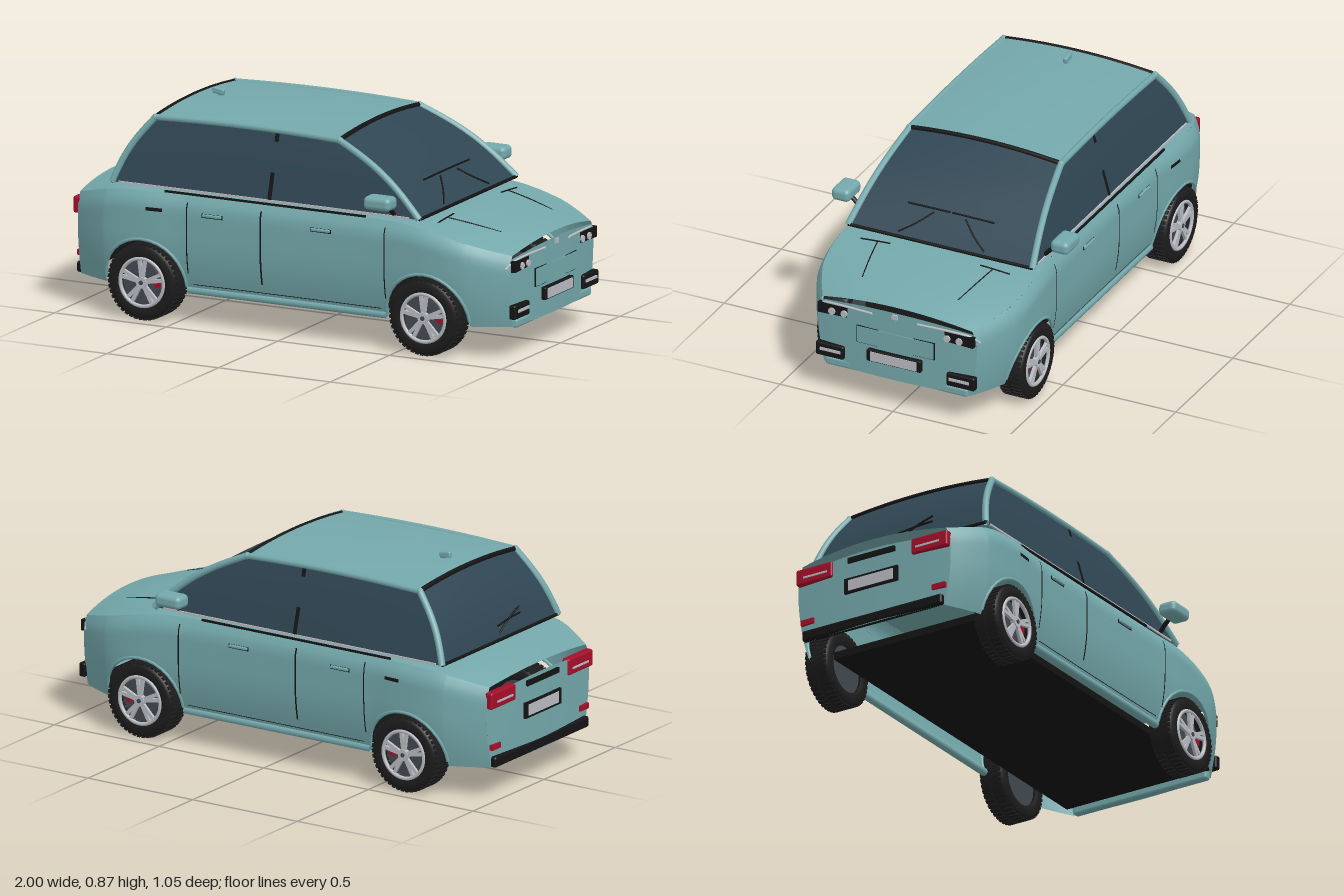
import * as THREE from 'three';
import { RoundedBoxGeometry } from 'three/addons/geometries/RoundedBoxGeometry.js';

const V = (x, y, z) => new THREE.Vector3(x, y, z);
const clamp = THREE.MathUtils.clamp, lerp = THREE.MathUtils.lerp;

// Piecewise-smooth lookup through a few [x, value] pairs
function track(pts) {
  return x => {
    let i = 0;
    while (i < pts.length - 2 && x > pts[i + 1][0]) i++;
    const slope = k => k <= 0 || k >= pts.length - 1 ? (k <= 0 ? (pts[1][1] - pts[0][1]) / (pts[1][0] - pts[0][0])
      : (pts[k][1] - pts[k - 1][1]) / (pts[k][0] - pts[k - 1][0])) : (pts[k + 1][1] - pts[k - 1][1]) / (pts[k + 1][0] - pts[k - 1][0]);
    const h = pts[i + 1][0] - pts[i][0], t = clamp((x - pts[i][0]) / h, 0, 1), t2 = t * t, t3 = t2 * t;
    return (2 * t3 - 3 * t2 + 1) * pts[i][1] + (t3 - 2 * t2 + t) * h * slope(i)
      + (3 * t2 - 2 * t3) * pts[i + 1][1] + (t3 - t2) * h * slope(i + 1);
  };
}

// Grid surface from a function of two values in 0..1
function surf(f, nu, nv) {
  const pos = [], idx = [];
  for (let i = 0; i <= nu; i++) for (let j = 0; j <= nv; j++) pos.push(...f(i / nu, j / nv, i).toArray());
  for (let i = 0; i < nu; i++) for (let j = 0; j < nv; j++) {
    const a = i * (nv + 1) + j, b = a + nv + 1;
    idx.push(a, b, a + 1, b, b + 1, a + 1);
  }
  const g = new THREE.BufferGeometry();
  g.setAttribute('position', new THREE.Float32BufferAttribute(pos, 3));
  g.setIndex(idx);
  g.computeVertexNormals();
  return g;
}

const tube = (pts, r) => new THREE.TubeGeometry(new THREE.CatmullRomCurve3(pts), 16, r, 8);

// Body plan width, shoulder height and centre-line height along the length
const REAR = -0.97, NOSE = 0.96, LOW = 0.13, ARCH = 0.182, AXLES = [-0.635, 0.625];
const width = track([[-0.97, 0.36], [-0.9, 0.4], [-0.8, 0.442], [-0.63, 0.455], [-0.45, 0.442], [0.4, 0.442], [0.63, 0.455], [0.78, 0.442], [0.88, 0.4], [0.96, 0.352]]);
const shoulder = track([[-0.97, 0.465], [-0.78, 0.515], [-0.6, 0.525], [0.45, 0.525], [0.6, 0.512], [0.8, 0.465], [0.96, 0.42]]);
const crown = track([[-0.97, 0.492], [-0.78, 0.53], [-0.6, 0.533], [0.58, 0.533], [0.8, 0.5], [0.96, 0.458]]);
function sideZ(x, y) {
  const tuck = clamp(1 - (shoulder(x) - y) / 0.07, 0, 1), under = clamp((0.36 - y) / 0.23, 0, 1);
  return width(x) * (1 - 0.06 * tuck * tuck - 0.08 * under * under);
}
const bow = (x, u) => x + Math.sign(x) * 0.02 * (1 - u * u) * clamp((Math.abs(x) - 0.7) / 0.26, 0, 1);

// Pillar centre lines, t from belt to roof, s = side
const pillarA = (t, s) => V(lerp(0.585, 0.19, t) + 0.02 * Math.sin(Math.PI * t), lerp(0.54, 0.803, t) + 0.02 * Math.sin(Math.PI * t), s * lerp(0.408, 0.335, t));
const pillarC = (t, s) => V(lerp(-0.79, -0.635, t) - 0.018 * Math.sin(Math.PI * t), lerp(0.54, 0.803, t) + 0.006 * Math.sin(Math.PI * t), s * lerp(0.408, 0.335, t));
const steps = n => Array.from({ length: n + 1 }, (_, i) => i / n);

export function createModel() {
  const car = new THREE.Group();
  car.name = 'car';
  const mat = (name, color) => new THREE.MeshStandardMaterial({ name, color, side: THREE.DoubleSide });
  const paint = mat('teal paint', 0x74a8ab), glass = mat('dark glass', 0x2f4653), black = mat('black trim', 0x141414),
    rubber = mat('tyre rubber', 0x1c1c1c), silver = mat('silver', 0xb9bcc2), red = mat('red', 0xa50f2a), steel = mat('dark steel', 0x41494f);
  const add = (name, geo, m, parent = car) => {
    const mesh = new THREE.Mesh(geo, m);
    mesh.name = name;
    parent.add(mesh);
    return mesh;
  };
  const box = (name, m, w, h, d, x, y, z, parent = car) => {
    const mesh = add(name, new THREE.BoxGeometry(w, h, d), m, parent);
    mesh.position.set(x, y, z);
    return mesh;
  };
  const soft = (name, m, w, h, d, x, y, z, r = 0.01) => {
    const mesh = add(name, new RoundedBoxGeometry(w, h, d, 3, r), m);
    mesh.position.set(x, y, z);
    return mesh;
  };

  // Columns of the side panels, packed along the wheel arches
  const cols = [];
  const run = (a, b, n) => steps(n).forEach(t => cols.push([lerp(a, b, t), LOW]));
  const arch = c => steps(24).forEach(t => cols.push([c - ARCH * Math.cos(Math.PI * t), 0.15 + ARCH * Math.sin(Math.PI * t)]));
  run(REAR, AXLES[0] - ARCH, 5); arch(AXLES[0]);
  run(AXLES[0] + ARCH, AXLES[1] - ARCH, 14); arch(AXLES[1]);
  run(AXLES[1] + ARCH, NOSE, 6);

  for (const s of [1, -1]) {
    // Side panel and arch lips
    add('sidePanel', surf((u, v, i) => {
      const [x, y0] = cols[i], y = lerp(y0, shoulder(x), v);
      return V(x, y, s * sideZ(x, y));
    }, cols.length - 1, 14), paint);
    for (const c of AXLES) add('archLip', tube(steps(16).map(t => {
      const x = c - ARCH * Math.cos(Math.PI * t), y = 0.15 + ARCH * Math.sin(Math.PI * t);
      return V(x, y, s * (sideZ(x, y) - 0.002));
    }), 0.007), paint);
    add('sill', tube([V(-0.45, 0.138, s * 0.405), V(0.44, 0.138, s * 0.405)], 0.016), paint);

    // Thin strips that follow the side panel
    const strip = (name, m, x0, x1, y0, y1) => add(name, surf((u, v) => {
      const x = lerp(x0, x1, u), y = lerp(y0, y1, v);
      return V(x, y, s * (sideZ(x, y) + 0.002));
    }, 8, 12), m);
    strip('rearDoorSeam', black, -0.442, -0.437, 0.21, 0.5);
    strip('middleDoorSeam', black, -0.114, -0.107, 0.2, 0.5);
    strip('frontDoorSeam', black, 0.443, 0.448, 0.21, 0.5);
    strip('doorBottomSeam', black, -0.42, 0.42, 0.163, 0.166);
    strip('sideVent', black, -0.615, -0.545, 0.452, 0.466);
    for (const x of [-0.325, 0.16]) {
      strip('handleRecess', black, x - 0.047, x + 0.047, 0.447, 0.464);
      soft('doorHandle', paint, 0.085, 0.012, 0.012, x, 0.457, s * (sideZ(x, 0.457) + 0.005), 0.004);
    }
    box('beltSeal', black, 0.9, 0.008, 0.008, -0.1, 0.53, s * 0.418);
    box('beltTrim', silver, 1.3, 0.008, 0.006, -0.11, 0.542, s * 0.41);

    // Side glass, pillars and roof rail
    add('sideWindow', surf((u, t) => {
      const p = pillarC(t, s).lerp(pillarA(t, s), u);
      p.y += t * 0.04 * u * (1 - u);
      return p;
    }, 12, 10), glass);
    add('windscreenPillar', tube(steps(8).map(t => pillarA(t, s)), 0.014), paint);
    add('rearPillar', tube(steps(8).map(t => pillarC(t, s)), 0.014), paint);
    add('roofRail', tube(steps(8).map(t => pillarC(1, s).lerp(pillarA(1, s), t).add(V(0, 0.04 * t * (1 - t), 0))), 0.013), paint);
    for (const p of [pillarA(1, s), pillarC(1, s)]) add('railCap', new THREE.SphereGeometry(0.015, 10, 8), paint).position.copy(p);
    add('doorPillar', surf((u, t) => V(lerp(-0.095, -0.077, u), lerp(0.545, 0.808, t), s * lerp(0.411, 0.338, t)), 1, 1), black);

    // Door mirror
    soft('mirror', paint, 0.12, 0.055, 0.08, 0.45, 0.612, s * 0.485, 0.02);
    add('mirrorArm', tube([V(0.47, 0.55, s * 0.405), V(0.465, 0.575, s * 0.43), V(0.46, 0.598, s * 0.46)], 0.009), black);

    // Front lamps, fog lamps and nose crease
    const lamp = box('headlightHousing', black, 0.02, 0.045, 0.165, 0.965, 0.378, s * 0.262);
    lamp.rotation.y = s * 0.06;
    for (const [z, r] of [[0.282, 0.015], [0.228, 0.014]]) {
      const eye = add('headlight', new THREE.CylinderGeometry(r, r, 0.008, 20), silver);
      eye.rotation.z = Math.PI / 2;
      eye.position.set(0.978, 0.372, s * z);
    }
    add('lampTrim', tube([V(0.984, 0.408, s * 0.1), V(0.978, 0.408, s * 0.25), V(0.965, 0.397, s * 0.33), V(0.945, 0.37, s * 0.36)], 0.005), silver);
    soft('fogLampHousing', black, 0.03, 0.058, 0.125, 0.97, 0.194, s * 0.29, 0.008);
    box('fogLamp', silver, 0.006, 0.012, 0.09, 0.986, 0.198, s * 0.285);
    const onHood = (x, z) => { const e = sideZ(x, shoulder(x)), u = z / e; return V(x, shoulder(x) + (crown(x) - shoulder(x)) * (1 - u * u) + 0.002, s * z); };
    add('hoodCrease', tube([onHood(0.63, 0.255), onHood(0.74, 0.235), onHood(0.85, 0.212)], 0.0025), black);
    add('hoodVent', tube([onHood(0.628, 0.2), onHood(0.628, 0.26), onHood(0.628, 0.33)], 0.003), black);

    // Tail lamps and reflectors
    soft('tailLamp', red, 0.035, 0.068, 0.17, -0.976, 0.412, s * 0.272, 0.008);
    box('tailLampStripe', silver, 0.004, 0.008, 0.11, -0.995, 0.405, s * 0.265);
    box('rearReflector', red, 0.02, 0.022, 0.06, -0.975, 0.215, s * 0.31);

    // Windscreen wipers
    const W = (t, z) => { const p = pillarA(t, 1), u = z / p.z; return V(p.x + 0.006, p.y + 0.006 + 0.022 * t * (1 - u * u), s * z); };
    add('wiperBlade', tube([W(0.3, 0.005), W(0.3, 0.1), W(0.3, 0.19)], 0.004), black);
    add('wiperArm', tube([W(0.04, 0.19), W(0.14, 0.13), W(0.27, 0.07)], 0.0035), black);
  }

  // Hood, shelf and rear deck in one crowned skin
  add('hoodAndDeck', surf((a, b) => {
    const x = lerp(REAR, NOSE, a), u = b * 2 - 1, e = sideZ(x, shoulder(x));
    return V(bow(x, u), shoulder(x) + (crown(x) - shoulder(x)) * (1 - u * u), u * e);
  }, 60, 20), paint);

  // Bowed end panels
  const endPanel = (name, x, top) => add(name, surf((a, b) => {
    const u = b * 2 - 1, y = lerp(LOW, top - 0.025 * u * u, a);
    return V(bow(x, u), y, u * sideZ(x, Math.min(y, shoulder(x) - 0.01)));
  }, 10, 20), paint);
  endPanel('nosePanel', NOSE, 0.432);
  endPanel('tailPanel', REAR, 0.452);
  box('floor', black, 1.68, 0.03, 0.66, 0.08, 0.158, 0);

  // Nose fittings
  box('grilleFrame', black, 0.008, 0.076, 0.346, 0.975, 0.3, 0);
  box('grillePanel', paint, 0.012, 0.07, 0.338, 0.976, 0.3, 0);
  soft('noseLip', paint, 0.035, 0.036, 0.63, 0.955, 0.142, 0);
  soft('frontPlateFrame', black, 0.03, 0.052, 0.24, 0.982, 0.224, 0, 0.006);
  box('frontPlate', silver, 0.004, 0.04, 0.205, 0.998, 0.224, 0);
  box('noseBadge', silver, 0.008, 0.02, 0.024, 0.983, 0.415, 0);

  // Tail fittings
  soft('rearBumper', black, 0.03, 0.045, 0.66, -0.978, 0.153, 0);
  box('rearPlateFrame', black, 0.012, 0.065, 0.25, -0.992, 0.315, 0);
  box('rearPlate', silver, 0.004, 0.046, 0.21, -0.998, 0.315, 0);
  box('bootHandle', black, 0.016, 0.022, 0.22, -0.99, 0.425, 0);

  // Windscreen, rear window, roof and their black headers
  const screen = (name, f) => add(name, surf((a, t) => {
    const u = a * 2 - 1, p = f(t, u);
    p.y += 0.022 * t * (1 - u * u);
    return p;
  }, 16, 12), glass);
  const header = (f, t, rise) => steps(12).map(a => f(t, a * 2 - 1).add(V(0, rise * (1 - (a * 2 - 1) ** 2) + 0.002, 0)));
  for (const [name, f] of [['windscreen', pillarA], ['rearWindow', pillarC]]) {
    screen(name, f);
    add(name + 'Header', tube(header(f, 1, 0.02), 0.01), black);
    add(name + 'Seal', tube(header(f, 0, 0), 0.007), black);
  }
  add('roof', surf((a, b) => {
    const u = b * 2 - 1, p = pillarC(1, u).lerp(pillarA(1, u), a);
    p.y += 0.006 + 0.02 * (1 - u * u) + 0.03 * a * (1 - a);
    return p;
  }, 20, 16), paint);
  add('rearWiper', tube([V(-0.788, 0.57, 0.0), V(-0.783, 0.61, 0.07), V(-0.778, 0.64, 0.15)], 0.004), black);
  add('rearWiperBlade', tube([V(-0.785, 0.6, -0.01), V(-0.783, 0.61, 0.07), V(-0.782, 0.615, 0.15)], 0.004), black);

  // Antenna
  box('antennaBase', paint, 0.02, 0.025, 0.012, -0.52, 0.83, 0);
  soft('antenna', paint, 0.052, 0.026, 0.02, -0.53, 0.85, 0, 0.007).rotation.z = -0.15;

  // Wheels: outer face towards local +z
  const profile = [[0.098, 0.05], [0.115, 0.056], [0.138, 0.054], [0.149, 0.046], [0.151, 0.03], [0.151, -0.03], [0.149, -0.046], [0.138, -0.054], [0.115, -0.056], [0.098, -0.05]];
  const tyreGeo = new THREE.LatheGeometry(profile.map(p => new THREE.Vector2(...p)), 48).rotateX(Math.PI / 2);
  const spokeShape = new THREE.Shape([[-0.009, 0.015], [0.009, 0.015], [0.02, 0.096], [0.006, 0.096], [0, 0.06], [-0.006, 0.096], [-0.02, 0.096]].map(p => new THREE.Vector2(...p)));
  const spokeGeo = new THREE.ExtrudeGeometry(spokeShape, { depth: 0.012, bevelEnabled: false });
  const disc = (r, d) => new THREE.CylinderGeometry(r, r, d, 32).rotateX(Math.PI / 2);
  for (const x of AXLES) for (const s of [1, -1]) {
    const wheel = new THREE.Group();
    wheel.name = x > 0 ? 'frontWheel' : 'rearWheel';
    wheel.position.set(x, 0.155, s * 0.4);
    wheel.rotation.y = s > 0 ? 0 : Math.PI;
    car.add(wheel);
    add('tyre', tyreGeo, rubber, wheel);
    for (let i = 0; i < 44; i++) for (const k of [-1, 1]) {
      const a = (i + (k > 0 ? 0.5 : 0)) / 44 * Math.PI * 2;
      box('treadBlock', rubber, 0.01, 0.014, 0.042, Math.cos(a) * 0.15, Math.sin(a) * 0.15, k * 0.026, wheel).rotation.z = a;
    }
    add('wheelBack', disc(0.099, 0.06), steel, wheel).position.z = -0.01;
    add('brakeDisc', disc(0.07, 0.008), steel, wheel).position.z = 0.026;
    box('brakeCaliper', red, 0.022, 0.035, 0.014, s * 0.063, 0, 0.034, wheel);
    add('rimRing', new THREE.TorusGeometry(0.097, 0.008, 8, 40), silver, wheel).position.z = 0.05;
    for (let i = 0; i < 5; i++) {
      const spoke = add('spoke', spokeGeo, silver, wheel);
      spoke.position.z = 0.042;
      spoke.rotation.z = i / 5 * Math.PI * 2;
    }
    add('hub', disc(0.023, 0.02), silver, wheel).position.z = 0.048;
    add('hubCap', disc(0.009, 0.004), steel, wheel).position.z = 0.059;
  }
  return car;
}
